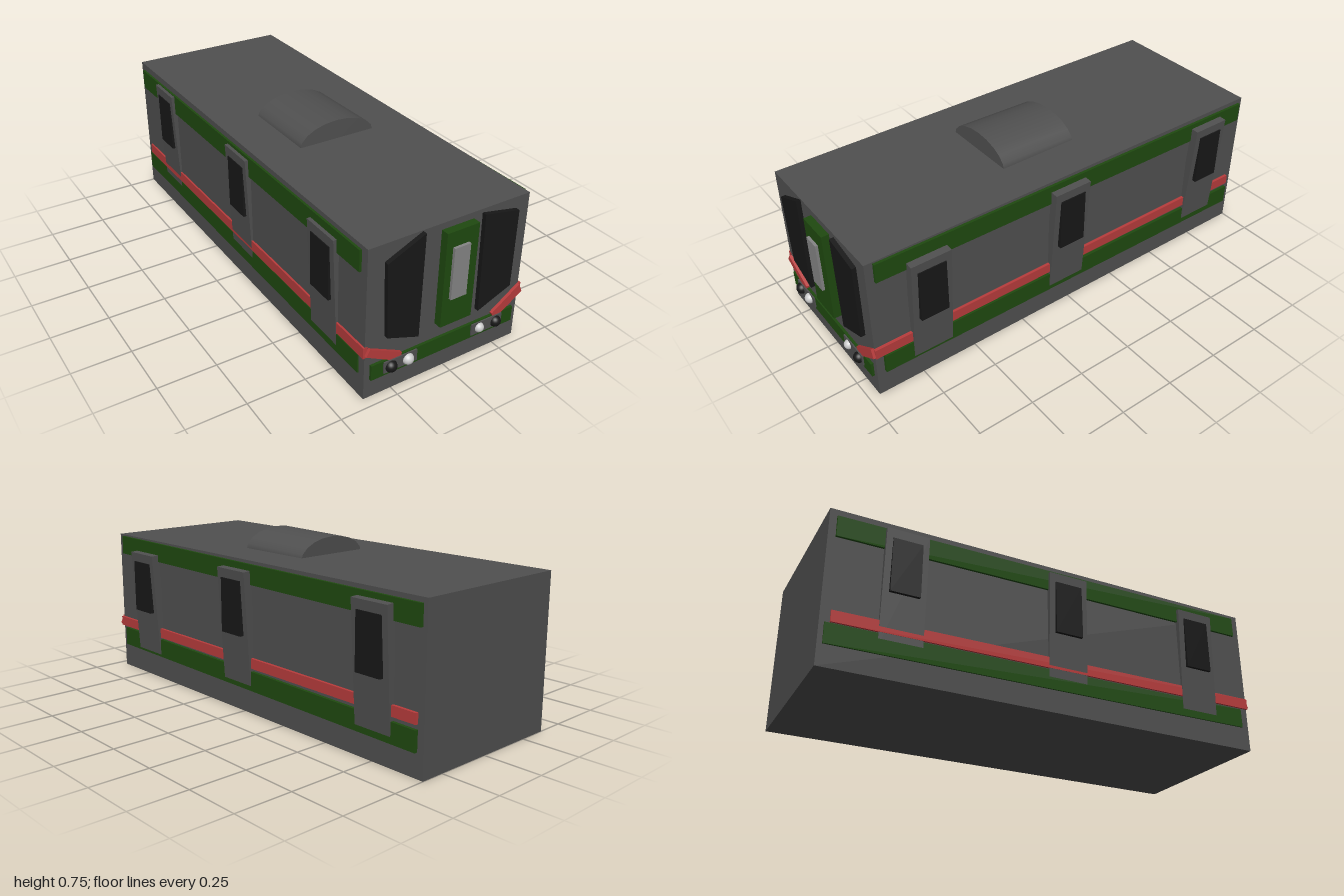
import * as THREE from 'three';

const mat = (color) => new THREE.MeshStandardMaterial({ color });
const GREY = mat(0x505050), GREEN = mat(0x1f4a10), RED = mat(0xb83c3c);
const BLACK = mat(0x181818), PANE = mat(0x858585), WHITE = mat(0xe6e6e6);

const FRONT = 0.955, LEFT = 0.355, RIGHT = -0.375;

export function createModel() {
  const train = new THREE.Group();
  train.name = 'trainCar';

  const add = (name, geometry, material, parent = train) => {
    const mesh = new THREE.Mesh(geometry, material);
    mesh.name = name;
    parent.add(mesh);
    return mesh;
  };
  // Box given by its min and max on each axis
  const box = (name, material, x0, x1, y0, y1, z0, z1) => {
    const mesh = add(name, new THREE.BoxGeometry(x1 - x0, y1 - y0, z1 - z0), material);
    mesh.position.set((x0 + x1) / 2, (y0 + y1) / 2, (z0 + z1) / 2);
    return mesh;
  };
  // Flat plate on the front face, outlined by x, y corners
  const plate = (name, material, corners, depth) => {
    const shape = new THREE.Shape(corners.map(([x, y]) => new THREE.Vector2(x, y)));
    const mesh = add(name, new THREE.ExtrudeGeometry(shape, { depth, bevelEnabled: false }), material);
    mesh.position.z = FRONT - 0.003;
    return mesh;
  };

  // Body and rounded roof unit
  box('body', GREY, RIGHT, LEFT, 0, 0.663, -1, FRONT);
  const roof = add('roofUnit', new THREE.CylinderGeometry(1, 1, 0.36, 20).rotateX(Math.PI / 2), GREY);
  roof.scale.set(0.178, 0.09, 1);
  roof.position.set(-0.01, 0.652, 0.025);
  roof.rotation.x = -0.018;

  // Side stripes and doors
  const sides = [
    {
      side: 1, name: 'left', face: LEFT,
      stripes: [['upperStripe', GREEN, 0.607, 0.085, -0.98, 0.92, 0.012, 0.007],
        ['redStripe', RED, 0.228, 0.044, -0.97, 0.957, 0.013, 0],
        ['lowerStripe', GREEN, 0.15, 0.085, -0.97, 0.92, 0.014, 0.007]],
      doors: [[0.703, 0.125, 0.6], [0.027, 0.13, 0.622], [-0.765, 0.13, 0.622]],
      outer: 0.4,
    },
    {
      side: -1, name: 'right', face: RIGHT,
      stripes: [['upperStripe', GREEN, 0.593, 0.09, -0.97, 0.92, 0.01, 0.007],
        ['redStripe', RED, 0.212, 0.048, -0.96, 0.957, 0.008, 0.008],
        ['lowerStripe', GREEN, 0.14, 0.085, -0.98, 0.92, 0.006, 0.007]],
      doors: [[0.69, 0.115, 0.61], [0.032, 0.12, 0.625], [-0.688, 0.12, 0.63]],
      outer: -0.4,
    },
  ];
  for (const { side, name, face, stripes, doors, outer } of sides) {
    for (const [part, material, y, height, z0, z1, proud, tilt] of stripes) {
      const stripe = add(name + part, new THREE.BoxGeometry(0.02, height, z1 - z0), material);
      stripe.position.set(face + side * (proud - 0.01), y, (z0 + z1) / 2);
      stripe.rotation.x = -tilt;
    }
    for (const [z, y0, y1] of doors) {
      // Door leans outwards towards its top
      const height = y1 - y0, lean = side > 0 ? 0.06 : 0.04;
      const door = add(name + 'Door', new THREE.BoxGeometry(0.035, height, 0.178), GREY);
      door.rotation.z = -side * lean;
      door.position.set(outer - side * (0.0175 + Math.sin(lean) * height / 2), (y0 + y1) / 2, z);
      const xs = [outer - side * 0.028, outer + side * 0.002].sort((a, b) => a - b);
      box(name + 'DoorWindow', BLACK, xs[0], xs[1], y1 - 0.277, y1 - 0.042, z - 0.062, z + 0.062);
    }
  }

  // Front door and its window
  box('frontDoor', GREEN, -0.058, 0.089, 0.223, 0.636, 0.94, 0.988);
  box('frontDoorWindow', PANE, -0.028, 0.045, 0.345, 0.57, 0.97, 1);

  // Windscreens
  plate('rightWindscreen', BLACK, [[-0.303, 0.588], [-0.29, 0.263], [-0.146, 0.21], [-0.142, 0.66]], 0.022);
  plate('leftWindscreen', BLACK, [[0.128, 0.648], [0.138, 0.213], [0.293, 0.275], [0.293, 0.615]], 0.022);

  // Bumper stripe and slanted red bands
  box('bumperStripe', GREEN, -0.35, 0.33, 0.085, 0.153, 0.94, 0.966);
  plate('rightRedBand', RED, [[-0.376, 0.208], [-0.27, 0.15], [-0.217, 0.15], [-0.215, 0.163], [-0.36, 0.236]], 0.016);
  plate('leftRedBand', RED, [[0.22, 0.163], [0.225, 0.15], [0.27, 0.15], [0.368, 0.215], [0.352, 0.253]], 0.016);

  // Lamps on their plates
  box('rightLampPlate', GREY, -0.297, -0.145, 0.098, 0.149, 0.94, 0.972);
  box('leftLampPlate', GREY, 0.118, 0.27, 0.098, 0.149, 0.94, 0.972);
  const lamps = [[-0.265, 0.122, 0.025, BLACK], [-0.187, 0.122, 0.024, WHITE],
    [0.156, 0.125, 0.021, WHITE], [0.239, 0.122, 0.024, BLACK]];
  for (const [x, y, r, material] of lamps) {
    add('lamp', new THREE.SphereGeometry(r, 24, 16), material).position.set(x, y, 0.97);
  }

  return train;
}
